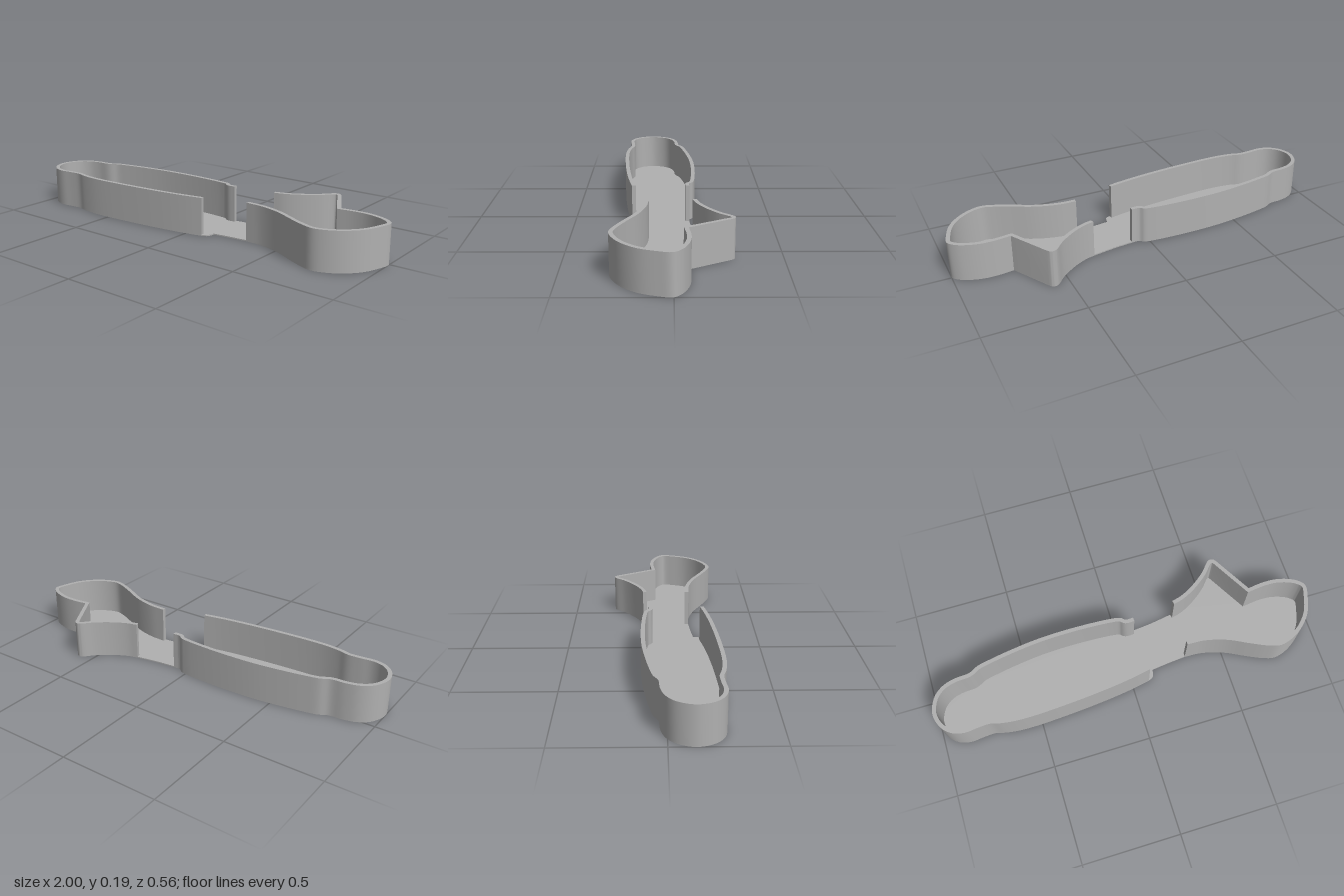
import * as THREE from 'three';
import { toCreasedNormals } from 'three/addons/utils/BufferGeometryUtils.js';

const HEIGHT = 0.195, FLOOR = 0.006, WALL = 0.02;

// Smooth plan curve through [x, z] points
function smooth(points, steps = 4) {
  const curve = new THREE.CatmullRomCurve3(
    points.map(([x, z]) => new THREE.Vector3(x, z, 0)), false, 'centripetal');
  const n = (points.length - 1) * steps;
  return Array.from({ length: n + 1 }, (_, i) => {
    const p = curve.getPoint(i / n);
    return new THREE.Vector2(p.x, p.y);
  });
}

// Mitred offset towards the inside of an open path
function inset(path, d) {
  const normal = (a, b) => new THREE.Vector2(b.y - a.y, a.x - b.x).normalize();
  return path.map((p, i) => {
    const before = normal(path[Math.max(i - 1, 0)], path[Math.max(i, 1)]);
    const last = path.length - 1;
    const after = normal(path[Math.min(i, last - 1)], path[Math.min(i + 1, last)]);
    const m = before.clone().add(after).normalize();
    return p.clone().addScaledVector(m, d / Math.max(m.dot(after), 0.5));
  });
}

// Extrude a plan outline upward from y = base
function extrudeUp(outline, base, height) {
  const geometry = new THREE.ExtrudeGeometry(new THREE.Shape(outline),
    { depth: height, bevelEnabled: false, steps: 1 });
  geometry.rotateX(Math.PI / 2).translate(0, base + height, 0);
  return toCreasedNormals(geometry, 0.45);
}

export function createModel() {
  const group = new THREE.Group();
  const grey = new THREE.MeshStandardMaterial({ color: 0xb0b0b0 });
  grey.name = 'grey plastic';

  const add = (name, geometry) => {
    const mesh = new THREE.Mesh(geometry, grey);
    mesh.name = name;
    group.add(mesh);
  };

  // Long rounded compartment, from its back end round to its front end
  const handle = smooth([
    [0.09, -0.083], [0.05, -0.083], [0.03, -0.099], [0, -0.107], [-0.2, -0.118],
    [-0.4, -0.113], [-0.56, -0.094], [-0.67, -0.075], [-0.735, -0.06], [-0.78, -0.037],
    [-0.85, -0.031], [-0.915, -0.013], [-0.965, 0.025], [-0.994, 0.08], [-1, 0.13],
    [-0.977, 0.195], [-0.93, 0.238], [-0.87, 0.254], [-0.8, 0.248], [-0.74, 0.246],
    [-0.69, 0.259], [-0.585, 0.27], [-0.345, 0.261], [-0.13, 0.242], [0, 0.224], [0.09, 0.207],
  ]);

  // Front edge of the open neck
  const neckFront = smooth([
    [0.09, 0.207], [0.113, 0.196], [0.122, 0.175], [0.125, 0.156],
  ]).concat(smooth([[0.125, 0.156], [0.22, 0.145], [0.31, 0.137]]).slice(1));

  // Head compartment: rounded lobe, sharp inner corner, then the pointed fin
  const lobe = smooth([
    [0.31, 0.137], [0.4, 0.142], [0.51, 0.172], [0.62, 0.226], [0.7, 0.262],
    [0.76, 0.278], [0.83, 0.26], [0.9, 0.215], [0.955, 0.15], [0.987, 0.07],
    [1, 0.005], [0.972, -0.03], [0.925, -0.055], [0.86, -0.072], [0.79, -0.074], [0.712, -0.065],
  ]);
  const fin = [new THREE.Vector2(0.712, -0.065)].concat(smooth([
    [0.602, -0.26], [0.59, -0.274], [0.574, -0.278], [0.557, -0.271], [0.51, -0.22],
    [0.43, -0.16], [0.36, -0.125], [0.31, -0.112],
  ]));
  const head = lobe.concat(fin.slice(1));

  // Back edge of the open neck
  const neckBack = smooth([[0.31, -0.112], [0.19, -0.093], [0.09, -0.083]]);

  // Thin floor under everything
  add('floor', extrudeUp([
    ...handle, ...neckFront.slice(1), ...head.slice(1), ...neckBack.slice(1, -1),
  ], 0, FLOOR));

  // Upright rims, open at the neck
  const rim = (path) => extrudeUp([...path, ...inset(path, WALL).reverse()], FLOOR, HEIGHT - FLOOR);
  add('handleWall', rim(handle));
  add('headWall', rim(head));

  return group;
}
